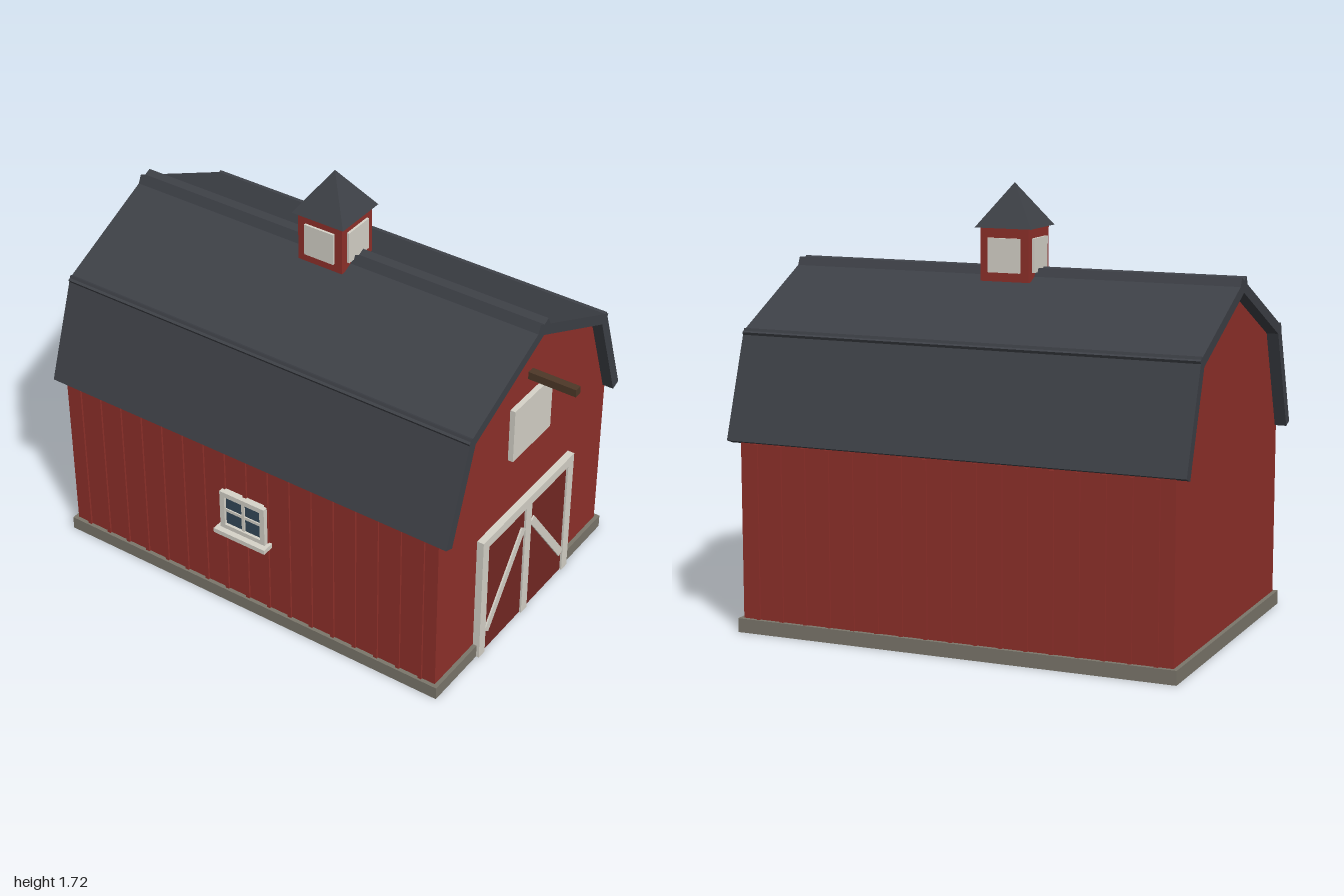
import * as THREE from 'three';

const paint = (color) => new THREE.MeshStandardMaterial({ color, flatShading: true });
const RED = paint(0x8f302a), DARK_RED = paint(0x742823), TRIM = paint(0xd6d3c9);
const ROOF = paint(0x3d4046), STONE = paint(0x7b766b), GLASS = paint(0x34495a), WOOD = paint(0x4d3828);

function box(parent, name, mat, size, pos) {
  const m = new THREE.Mesh(new THREE.BoxGeometry(...size), mat);
  m.name = name;
  m.position.set(...pos);
  parent.add(m);
  return m;
}

// Gambrel half-profile as [z, y]
const EAVE = [0.61, 0.745], KNEE = [0.47, 1.14], RIDGE = [0, 1.36];
const WALL_X = 0.875, WALL_Z = 0.605;

function buildWalls() {
  const g = new THREE.Group();
  g.name = 'walls';
  const half = [[WALL_Z, 0.05], [WALL_Z, 0.745], [0.465, 1.135]];
  const outline = [...half, RIDGE, ...half.map(([z, y]) => [-z, y]).reverse()];
  const shape = new THREE.Shape(outline.map(([z, y]) => new THREE.Vector2(z, y)));
  const geo = new THREE.ExtrudeGeometry(shape, { depth: 2 * WALL_X, bevelEnabled: false });
  geo.translate(0, 0, -WALL_X);
  geo.rotateY(Math.PI / 2);
  const body = new THREE.Mesh(geo, RED);
  body.name = 'barnBody';
  g.add(body);
  // Vertical battens on both long sides
  for (const s of [1, -1])
    for (let i = -8; i <= 8; i++)
      box(g, 'batten', RED, [0.016, 0.69, 0.014], [i * 0.1012, 0.395, s * 0.606]);
  return g;
}

// Roof slab along a to b in the z-y plane, with overlap at either end
function roofPanel(parent, name, a, b, side, extraA, extraB) {
  const A = new THREE.Vector2(a[0] * side, a[1]), B = new THREE.Vector2(b[0] * side, b[1]);
  const dir = B.clone().sub(A).normalize();
  A.addScaledVector(dir, -extraA);
  B.addScaledVector(dir, extraB);
  const mid = A.clone().add(B).multiplyScalar(0.5);
  const m = box(parent, name, ROOF, [1.844, 0.042, A.distanceTo(B)], [0, mid.y, mid.x]);
  // Keep the tilt within a quarter turn so that the slab top stays up
  m.rotation.x = -Math.atan2(dir.y * -side, dir.x * -side);
}

function buildRoof() {
  const g = new THREE.Group();
  g.name = 'roof';
  for (const s of [1, -1]) {
    roofPanel(g, 'lowerRoofPanel', EAVE, KNEE, s, 0, 0.02);
    roofPanel(g, 'upperRoofPanel', KNEE, RIDGE, s, 0.02, 0.04);
  }
  return g;
}

function buildBarnDoor() {
  const g = new THREE.Group();
  g.name = 'barnDoor';
  box(g, 'doorLeaves', DARK_RED, [0.03, 0.53, 0.6], [0.881, 0.266, 0]);
  box(g, 'doorHeader', TRIM, [0.035, 0.042, 0.67], [0.887, 0.551, 0]);
  box(g, 'centerStile', TRIM, [0.035, 0.53, 0.042], [0.887, 0.265, 0]);
  for (const s of [1, -1]) {
    box(g, 'doorJamb', TRIM, [0.035, 0.53, 0.042], [0.887, 0.265, s * 0.314]);
    const brace = box(g, 'diagonalBrace', TRIM, [0.02, 0.425, 0.034], [0.893, 0.27, s * 0.157]);
    brace.rotation.x = -s * Math.atan2(0.245, 0.335);
  }
  return g;
}

function buildWindow() {
  const g = new THREE.Group();
  g.name = 'window';
  box(g, 'glass', GLASS, [0.17, 0.145, 0.02], [0, 0.47, 0.611]);
  for (const s of [1, -1]) {
    box(g, 'windowSideTrim', TRIM, [0.022, 0.178, 0.03], [s * 0.095, 0.473, 0.618]);
    box(g, 'windowCrossTrim', TRIM, [0.168, 0.022, 0.03], [0, 0.473 + s * 0.078, 0.618]);
  }
  box(g, 'verticalMuntin', TRIM, [0.013, 0.14, 0.02], [0, 0.473, 0.617]);
  box(g, 'horizontalMuntin', TRIM, [0.17, 0.013, 0.02], [0, 0.473, 0.616]);
  box(g, 'sill', TRIM, [0.243, 0.02, 0.055], [0, 0.377, 0.63]);
  return g;
}

function buildCupola() {
  const g = new THREE.Group();
  g.name = 'cupola';
  box(g, 'cupolaBody', RED, [0.2, 0.21, 0.2], [0, 1.45, 0]);
  for (let i = 0; i < 4; i++) {
    const face = new THREE.Group();
    face.name = 'cupolaFace';
    face.rotation.y = i * Math.PI / 2;
    box(face, 'louver', TRIM, [0.132, 0.132, 0.02], [0, 1.446, 0.1]);
    g.add(face);
  }
  // Four-sided cap turned square to the body
  const cone = new THREE.ConeGeometry(0.117 * Math.SQRT2, 0.168, 4);
  cone.rotateY(Math.PI / 4);
  const cap = new THREE.Mesh(cone, ROOF);
  cap.name = 'cupolaRoof';
  cap.position.y = 1.634;
  g.add(cap);
  return g;
}

export function createModel() {
  const barn = new THREE.Group();
  barn.name = 'barn';
  box(barn, 'foundation', STONE, [1.784, 0.055, 1.244], [0, 0.0275, 0]);
  barn.add(buildWalls(), buildRoof(), buildBarnDoor(), buildWindow(), buildCupola());
  // Loft hatch and hoist beam on the gable
  box(barn, 'loftDoor', TRIM, [0.03, 0.232, 0.272], [0.882, 0.944, 0]);
  box(barn, 'hoistBeam', WOOD, [0.24, 0.032, 0.032], [0.957, 1.146, 0]);
  barn.position.set(-0.077, 0, -0.012);
  const model = new THREE.Group();
  model.name = 'model';
  model.add(barn);
  return model;
}
